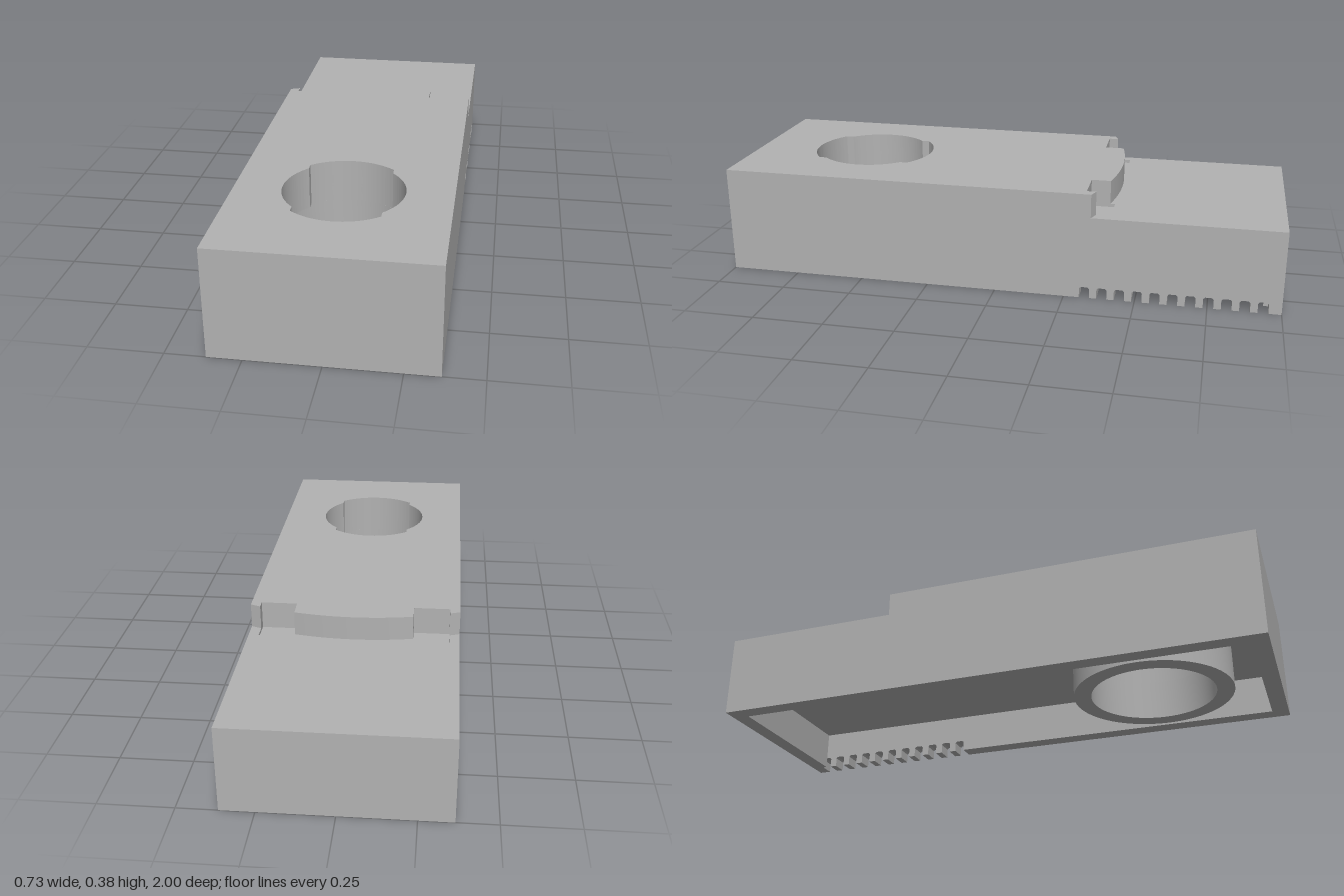
import * as THREE from 'three';
import { toCreasedNormals } from 'three/addons/utils/BufferGeometryUtils.js';

const W = 0.365, L = 1, WALL = 0.06;   // half width, half length, wall thickness
const CEIL = 0.145, DECK = 0.30, TOP = 0.385;
const HOLE_Z = 0.555, HOLE_R = 0.225, KEY_R = 0.205;

export function createModel() {
  const group = new THREE.Group();
  const grey = new THREE.MeshStandardMaterial({ color: 0xb2b2b2 });
  grey.name = 'plain grey';

  const add = (name, geometry) => {
    const mesh = new THREE.Mesh(geometry, grey);
    mesh.name = name;
    group.add(mesh);
    return mesh;
  };
  const polygon = (points) => new THREE.Shape(points.map(([x, y]) => new THREE.Vector2(x, y)));
  const rect = (x0, y0, x1, y1) => polygon([[x0, y0], [x1, y0], [x1, y1], [x0, y1]]);

  // Plan shapes use (x, -z) and are extruded upwards from y0 to y1
  const layer = (name, shape, holes, y0, y1) => {
    shape.holes.push(...holes);
    const g = new THREE.ExtrudeGeometry(shape, { depth: y1 - y0, bevelEnabled: false, curveSegments: 48 });
    g.rotateX(-Math.PI / 2).translate(0, y0, 0);
    return add(name, toCreasedNormals(g, 0.5));
  };

  const disc = (r) => new THREE.Shape().absarc(0, -HOLE_Z, r, 0, Math.PI * 2);

  // Hole with a narrower tab on each side
  const keyedHole = () => {
    const p = new THREE.Path();
    const a = Math.PI / 4, b = Math.acos((KEY_R * Math.SQRT1_2) / HOLE_R);
    for (const turn of [0, Math.PI]) {
      p.absarc(0, -HOLE_Z, KEY_R, turn - a, turn + a);
      p.absarc(0, -HOLE_Z, HOLE_R, turn + b, turn + Math.PI - b);
    }
    p.closePath();
    return p;
  };

  // Solid slab, with the tabs starting above its lower part
  const tabY = 0.235, pocketY = 0.288;
  const px0 = 0.205, px1 = 0.33, pz0 = 0.32, pz1 = 0.405;
  const slab = () => rect(-W, -L, W, L);
  layer('lowerSlab', slab(), [disc(HOLE_R)], CEIL, tabY);
  layer('middleSlab', slab(), [keyedHole()], tabY, pocketY);
  layer('deck', slab(),
    [keyedHole(), rect(px0, pz0, px1, pz1), rect(-px1, pz0, -px0, pz1)], pocketY, DECK);

  // Raised front block with a curved rear edge and two pockets
  const R = 0.987;
  const edge = (x) => 0.41 - (R - Math.sqrt(R * R - x * x));
  const rear = [[W, edge(W)], [px1, edge(px1)], [px1, pz0], [px0, pz0]];
  const outline = [[-W, -L], [W, -L], ...rear];
  for (let i = 0; i <= 24; i++) {
    const x = px0 * (1 - i / 12);
    outline.push([x, edge(x)]);
  }
  outline.push(...rear.slice().reverse().map(([x, y]) => [-x, y]));
  layer('raisedBlock', polygon(outline), [keyedHole()], DECK, TOP);

  // Tube below the hole
  layer('holeTube', disc(0.288), [disc(HOLE_R)], 0, CEIL);

  // Plain walls around the hollow underside
  const inner = W - WALL;
  layer('rightWall', rect(-W, -L, -inner, L), [], 0, CEIL);
  layer('frontWall', rect(-inner, -L, inner, -L + WALL), [], 0, CEIL);
  layer('backWall', rect(-inner, L - WALL, inner, L), [], 0, CEIL);

  // Left wall with a row of slots along its bottom edge, drawn in (-z, y)
  const profile = [[-L, 0]];
  const slotW = 0.036, slotH = 0.04, c = 0.006;
  for (let i = 0; i < 11; i++) {
    const s = 0.305 + i * 0.0615, e = s + slotW;
    profile.push([s, 0], [s, slotH - c], [s + c, slotH], [e - c, slotH], [e, slotH - c], [e, 0]);
  }
  profile.push([L, 0], [L, CEIL], [-L, CEIL]);
  const comb = new THREE.ExtrudeGeometry(polygon(profile), { depth: WALL, bevelEnabled: false });
  comb.rotateY(Math.PI / 2).translate(inner, 0, 0);
  add('slottedLeftWall', comb);

  return group;
}
